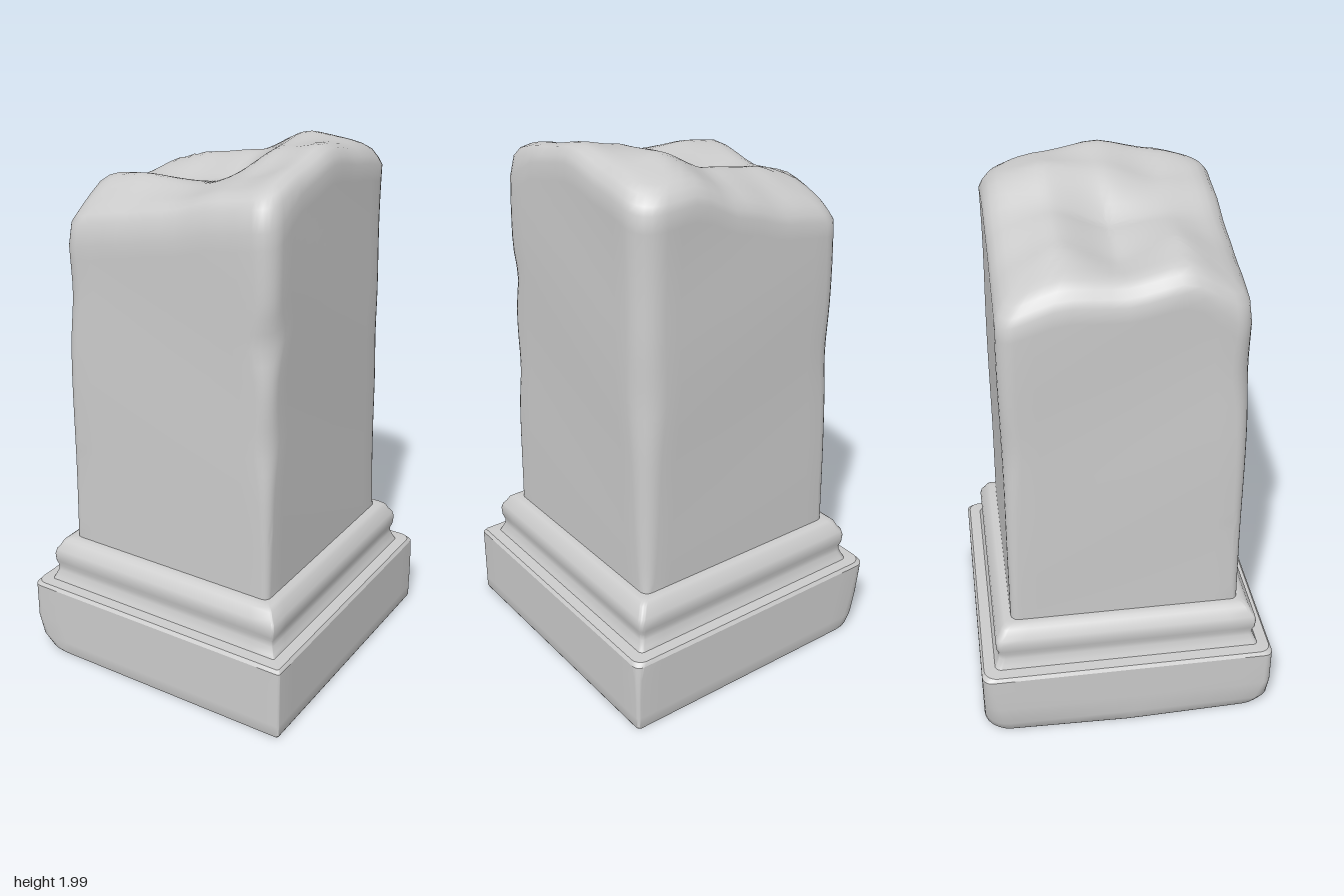
import * as THREE from 'three';
import { toCreasedNormals } from 'three/addons/utils/BufferGeometryUtils.js';

const ARC = 6, SIDE = 12;
const SIGNS = [[1, 1], [-1, 1], [-1, -1], [1, -1]]; // corner order in x, z

// Square outline of half width h with a separate worn radius at each corner
function outline(h, radii) {
  const arcs = SIGNS.map(([sx, sz], k) => {
    const r = radii[k], pts = [];
    for (let i = 0; i <= ARC; i++) {
      const a = (k + i / ARC) * Math.PI / 2;
      pts.push(new THREE.Vector2(sx * (h - r) + r * Math.cos(a), sz * (h - r) + r * Math.sin(a)));
    }
    return pts;
  });
  const out = [];
  arcs.forEach((pts, k) => {
    out.push(...pts);
    const next = arcs[(k + 1) % 4][0];
    for (let i = 1; i < SIDE; i++) out.push(pts[ARC].clone().lerp(next, i / SIDE));
  });
  return out;
}

// Skin a stack of rings (arrays of Vector3, bottom to top)
function loft(name, rings, crease) {
  const n = rings[0].length, pos = [], index = [];
  rings.forEach(r => r.forEach(p => pos.push(p.x, p.y, p.z)));
  for (let j = 0; j < rings.length - 1; j++) {
    for (let i = 0; i < n; i++) {
      const a = j * n + i, b = j * n + (i + 1) % n;
      index.push(a, a + n, b, b, a + n, b + n);
    }
  }
  const geo = new THREE.BufferGeometry();
  geo.setAttribute('position', new THREE.Float32BufferAttribute(pos, 3));
  geo.setIndex(index);
  const mesh = new THREE.Mesh(toCreasedNormals(geo, crease),
    new THREE.MeshStandardMaterial({ color: 0xcccccc }));
  mesh.name = name;
  return mesh;
}

const ring = (h, y, radii) => outline(h, radii).map(p => new THREE.Vector3(p.x, y, p.y));

// Broken top: heights at z (rows) and x (columns) from -0.4 to 0.4
const HEIGHTS = [
  [1.75, 1.78, 1.84, 1.93, 1.92],
  [1.81, 1.86, 1.89, 1.98, 1.96],
  [1.80, 1.79, 1.82, 1.96, 2.00],
  [1.84, 1.86, 1.85, 1.90, 1.96],
  [1.74, 1.78, 1.82, 1.88, 1.91],
];
function topHeight(x, z) {
  const cell = v => {
    const t = THREE.MathUtils.clamp((v + 0.4) / 0.2, 0, 3.999), i = Math.floor(t), f = t - i;
    return [i, f * f * (3 - 2 * f) * 0.6 + f * 0.4];
  };
  const [i, u] = cell(x), [j, v] = cell(z), mix = THREE.MathUtils.lerp;
  return mix(mix(HEIGHTS[j][i], HEIGHTS[j][i + 1], u), mix(HEIGHTS[j + 1][i], HEIGHTS[j + 1][i + 1], u), v);
}

// Shaft corners: crisp at the foot, chipped higher up
function shaftRadii(t) {
  const chip = (c, w) => Math.exp(-(((t - c) / w) ** 2));
  return [
    0.025 + 0.05 * t + 0.035 * chip(0.72, 0.06) + 0.02 * chip(0.45, 0.08),
    0.025 + 0.03 * t + 0.02 * chip(0.85, 0.1),
    0.03 + 0.035 * t + 0.015 * chip(0.6, 0.1),
    0.025 + 0.08 * Math.sqrt(t) + 0.015 * chip(0.55, 0.1),
  ];
}

function buildShaft() {
  const rings = [], steps = 24;
  // Sides rise to just under the broken edge, lower at the front
  for (let k = 0; k <= steps; k++) {
    const t = k / steps;
    rings.push(outline(0.427, shaftRadii(t)).map(p => {
      const droop = 0.07 + 0.05 * THREE.MathUtils.smoothstep(p.y, 0.2, 0.42);
      const y = 0.44 + t * (topHeight(p.x, p.y) - droop - 0.44);
      const wave = 1 - 0.008 * t * (1 + Math.sin(y * 7 + p.x * 3 - p.y * 4));
      return new THREE.Vector3(p.x * wave, y, p.y * wave);
    }));
  }
  // Rounded shoulder, then the uneven top towards the centre
  const cap = [[0.965, 0.045], [0.92, 0.018], [0.85, 0.004]];
  for (let s = 0.78; s > 0.01; s -= 0.06) cap.push([s, 0]);
  cap.push([0, 0]);
  const edge = outline(0.427, shaftRadii(1));
  cap.forEach(([s, d]) => rings.push(edge.map(p =>
    new THREE.Vector3(p.x * s, topHeight(p.x * s, p.y * s) - d, p.y * s))));
  return loft('shaft', rings, 0.9);
}

function buildPlinth() {
  // half width, height, corner radii
  const rows = [
    [0, 0, [0, 0, 0, 0]],
    [0.546, 0, [0.01, 0.11, 0.1, 0.015]],
    [0.55, 0.008, [0.01, 0.1, 0.1, 0.015]],
    [0.55, 0.05, [0.01, 0.06, 0.09, 0.015]],
    [0.55, 0.13, [0.01, 0.03, 0.07, 0.015]],
    [0.55, 0.22, [0.01, 0.03, 0.05, 0.02]],
    [0.55, 0.272, [0.01, 0.03, 0.04, 0.03]],
    [0.541, 0.285, [0.01, 0.04, 0.05, 0.04]],
    [0.45, 0.29, [0.01, 0.03, 0.03, 0.03]],
  ];
  const rings = rows.map(([h, y, r]) => ring(h, y, r));
  // Worn lower edge on the -x side
  rings.forEach(r => r.forEach(p => {
    if (p.x < -0.4) p.x += 0.025 * Math.max(0, 1 - p.y / 0.06) * (0.4 + 0.6 * Math.abs(p.z) / 0.55);
  }));
  return loft('plinth', rings, 0.6);
}

function buildMoulding() {
  const profile = [[0.5, 0.285], [0.493, 0.3], [0.483, 0.325], [0.482, 0.345], [0.489, 0.365],
    [0.491, 0.395], [0.486, 0.415], [0.475, 0.43], [0.465, 0.45], [0.452, 0.46], [0.435, 0.464], [0.4, 0.464]];
  return loft('moulding', profile.map(([h, y]) => ring(h, y, [0.008, 0.015, 0.025, 0.02])), 0.7);
}

export function createModel() {
  const group = new THREE.Group();
  group.name = 'brokenPedestal';
  group.add(buildPlinth(), buildMoulding(), buildShaft());
  return group;
}
